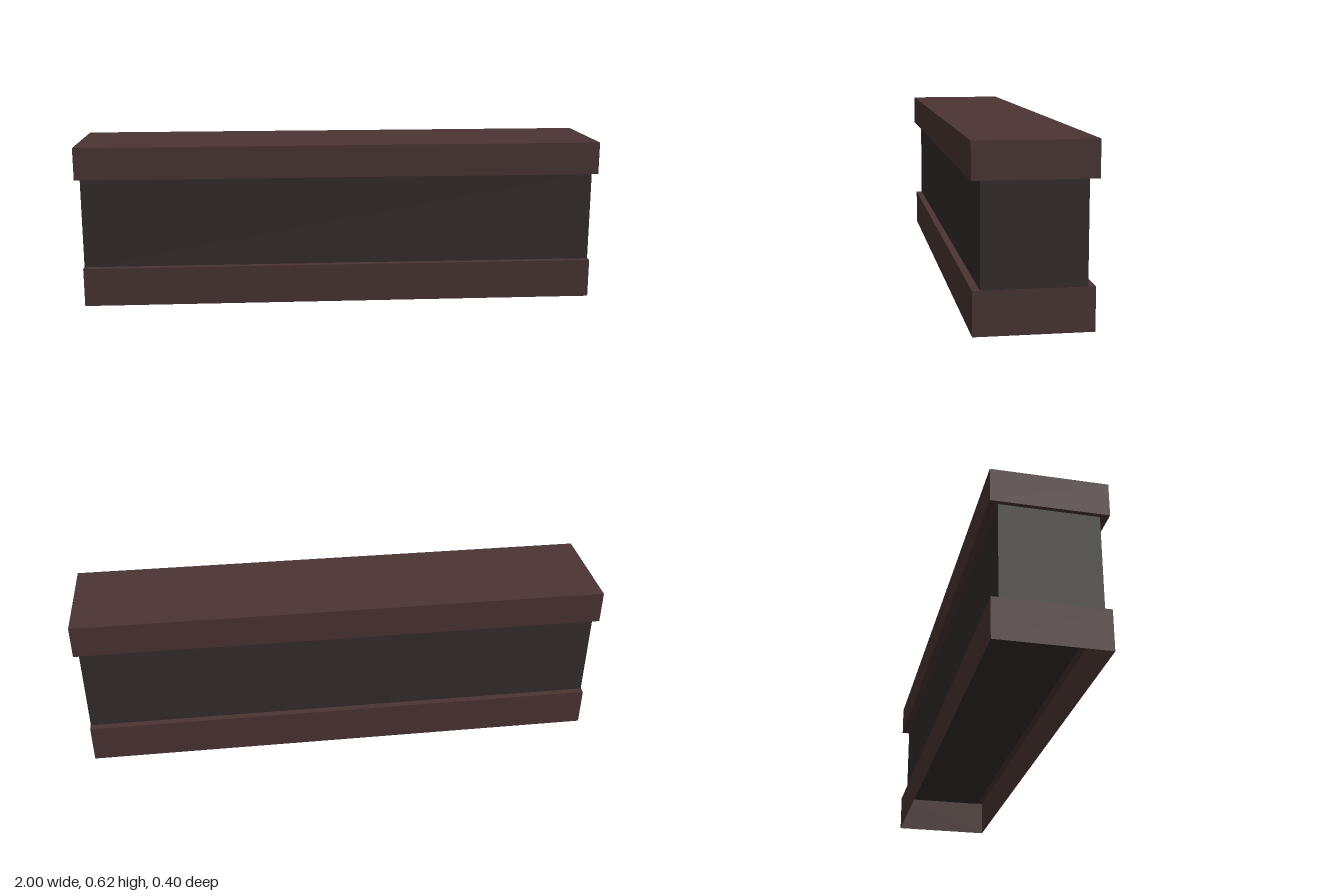
import * as THREE from 'three';

export function createModel() {
  const group = new THREE.Group();
  const wood = new THREE.MeshStandardMaterial({ name: 'reddish brown', color: 0x4b3534, side: THREE.DoubleSide });
  const panel = new THREE.MeshStandardMaterial({ name: 'dark charcoal', color: 0x362d2d });

  // Box spanning bottom to top, centred on x and z
  function block(name, width, bottom, top, depth, material) {
    const geometry = new THREE.BoxGeometry(width, top - bottom, depth);
    geometry.translate(0, (bottom + top) / 2, 0);
    const mesh = new THREE.Mesh(geometry, material);
    mesh.name = name;
    group.add(mesh);
    return mesh;
  }

  block('topSlab', 2, 0.493, 0.616, 0.404, wood);
  // The body dips just through the base top, so its underside shows inside the base
  block('body', 1.968, 0.146, 0.493, 0.344, panel);

  // Base is a thin shell, open underneath: drop the box's bottom face
  const base = block('base', 1.97, 0, 0.148, 0.394, wood);
  const index = Array.from(base.geometry.index.array);
  index.splice(18, 6);
  base.geometry.setIndex(index);
  base.geometry.clearGroups();

  return group;
}
